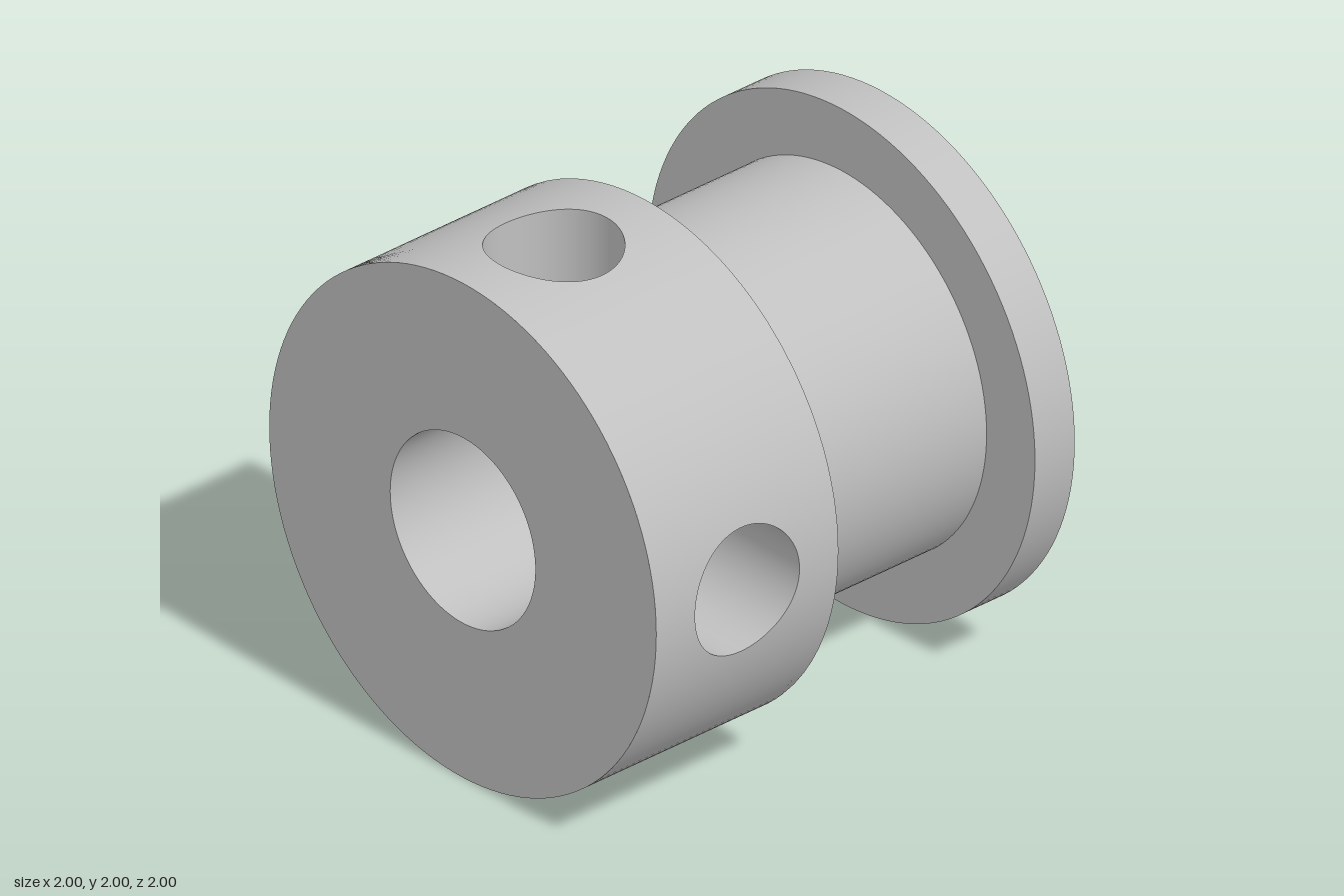
import * as THREE from 'three';

const OUTER = 1, DRUM = 0.75, BORE = 0.375, HOLE = 0.25;
const X0 = -1, X1 = -0.13, X2 = 0.81, X3 = 1;
const HOLE_X = (X0 + X1) / 2, HALF = (X1 - X0) / 2;
const TAU = Math.PI * 2;

const metal = new THREE.MeshStandardMaterial({ color: 0xc0c0c0 });
metal.name = 'grey metal';

// Grid surface: fn(u, v) returns [position, normal]; triangles are wound to match the normal.
function surface(fn, nu, nv) {
  const pos = [], nor = [], index = [];
  for (let j = 0; j <= nv; j++) {
    for (let i = 0; i <= nu; i++) {
      const [p, n] = fn(i / nu, j / nv);
      pos.push(...p);
      nor.push(...n);
    }
  }
  const at = (list, i) => new THREE.Vector3().fromArray(list, i * 3);
  const tri = (a, b, c) => {
    const pa = at(pos, a);
    const face = at(pos, b).sub(pa).cross(at(pos, c).sub(pa));
    if (face.dot(at(nor, a)) > 0) index.push(a, b, c);
    else index.push(a, c, b);
  };
  for (let j = 0; j < nv; j++) {
    for (let i = 0; i < nu; i++) {
      const a = j * (nu + 1) + i, b = a + 1, c = a + nu + 1, d = c + 1;
      tri(a, b, d);
      tri(a, d, c);
    }
  }
  const g = new THREE.BufferGeometry();
  g.setAttribute('position', new THREE.Float32BufferAttribute(pos, 3));
  g.setAttribute('normal', new THREE.Float32BufferAttribute(nor, 3));
  g.setIndex(index);
  return g;
}

// Point on a cylinder about x; angle 0 is up, a quarter turn is the front.
const onCylinder = (x, r, a, side) => [
  [x, r * Math.cos(a), r * Math.sin(a)],
  [0, side * Math.cos(a), side * Math.sin(a)],
];

// Plain cylinder wall, side 1 faces outward and -1 faces the axis
const wall = (xa, xb, r, side = 1, start = 0, sweep = TAU) =>
  surface((u, v) => onCylinder(xa + (xb - xa) * v, r, start + sweep * u, side),
    Math.round(128 * sweep / TAU), 1);

// Flat ring across the axis
const ring = (x, inner, outer, side) =>
  surface((u, v) => [onCylinder(x, inner + (outer - inner) * v, u * TAU, 1)[0], [side, 0, 0]], 128, 1);

// Quarter of a collar wall, with a round cross-hole in its middle
const piercedWall = (r, side, centre) => surface((u, v) => {
  const c = Math.cos(u * TAU), s = Math.sin(u * TAU);
  const k = 1 / Math.max(Math.abs(c), Math.abs(s));
  const x = THREE.MathUtils.lerp(HOLE * c, HALF * k * c, v);
  const a = THREE.MathUtils.lerp(Math.asin(HOLE * s / r), Math.PI / 4 * k * s, v);
  return onCylinder(HOLE_X + x, r, centre + a, side);
}, 96, 12);

// Wall of a cross-hole, from the bore out to the collar surface
const holeWall = (centre) => surface((u, v) => {
  const c = Math.cos(u * TAU), s = Math.sin(u * TAU);
  const lat = HOLE * s;
  const h = THREE.MathUtils.lerp(Math.sqrt(BORE ** 2 - lat ** 2), Math.sqrt(OUTER ** 2 - lat ** 2), v);
  const ca = Math.cos(centre), sa = Math.sin(centre);
  return [
    [HOLE_X + HOLE * c, h * ca - lat * sa, h * sa + lat * ca],
    [-c, s * sa, -s * ca],
  ];
}, 96, 1);

export function createModel() {
  const model = new THREE.Group();
  model.name = 'flanged spool';
  const part = (name, ...geometries) => {
    const group = new THREE.Group();
    group.name = name;
    geometries.forEach((g, i) => {
      const mesh = new THREE.Mesh(g, metal);
      mesh.name = `${name}Surface${i + 1}`;
      group.add(mesh);
    });
    group.position.y = OUTER;
    model.add(group);
  };
  const holes = [0, Math.PI / 2]; // one upward, one to the front
  const rest = 3 * Math.PI / 4;   // start of the unpierced half

  part('collar',
    ...holes.map((a) => piercedWall(OUTER, 1, a)),
    wall(X0, X1, OUTER, 1, rest, Math.PI),
    ring(X0, BORE, OUTER, -1),
    ring(X1, DRUM, OUTER, 1));
  part('setScrewHoles', ...holes.map(holeWall));
  part('drum', wall(X1, X2, DRUM));
  part('flange',
    wall(X2, X3, OUTER),
    ring(X2, DRUM, OUTER, -1),
    ring(X3, BORE, OUTER, 1));
  part('bore',
    ...holes.map((a) => piercedWall(BORE, -1, a)),
    wall(X0, X1, BORE, -1, rest, Math.PI),
    wall(X1, X3, BORE, -1));
  return model;
}
